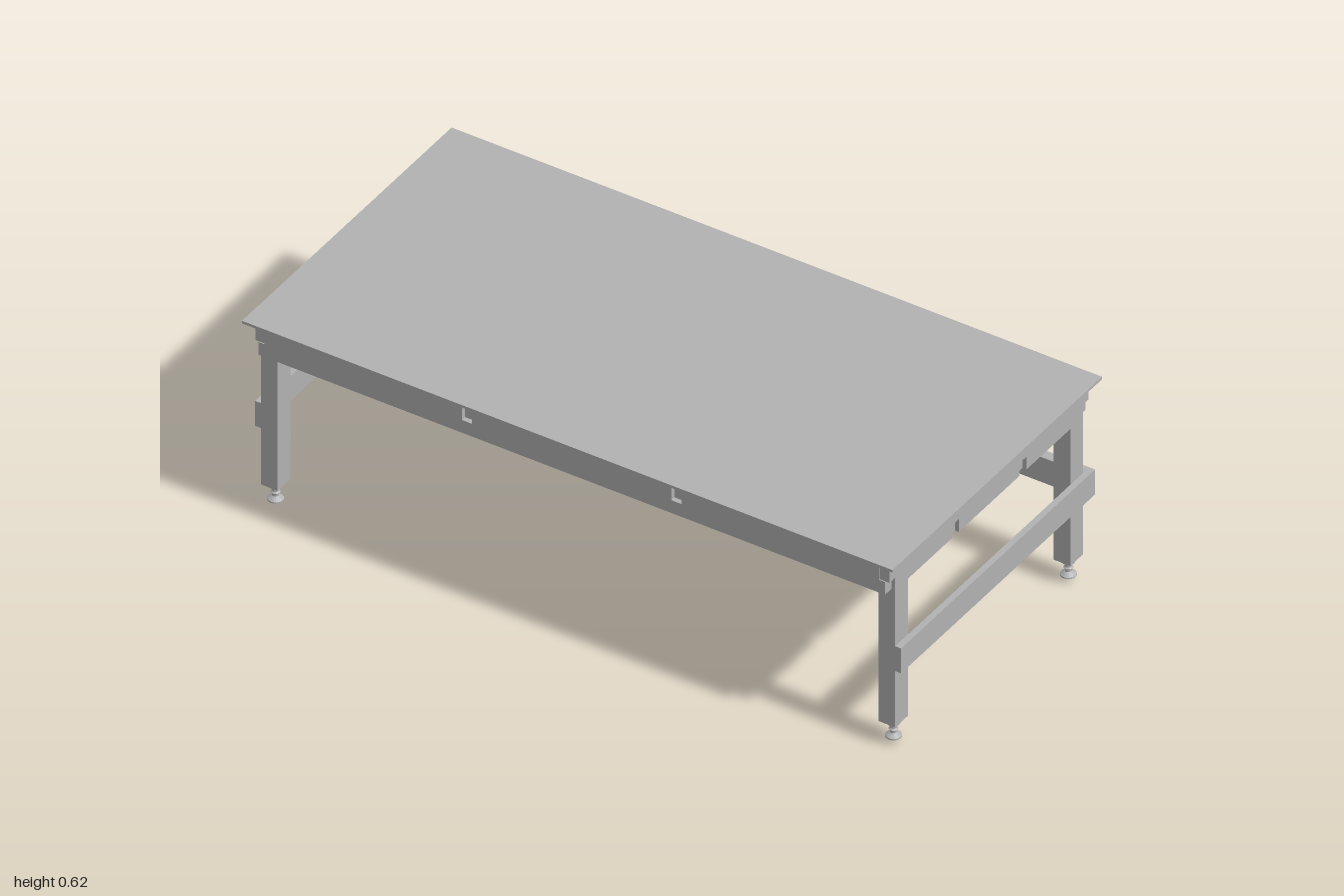
import * as THREE from 'three';

const steel = new THREE.MeshStandardMaterial({ color: 0xb2b2b2 });
steel.name = 'grey steel';

export function createModel() {
  const table = new THREE.Group();
  table.name = 'weldedTable';

  const add = (name, geometry) => {
    const mesh = new THREE.Mesh(geometry, steel);
    mesh.name = name;
    table.add(mesh);
    return mesh;
  };
  // Box given by its low and high limits on each axis
  const box = (name, [x0, x1], [y0, y1], [z0, z1]) => {
    const lo = [Math.min(x0, x1), y0, Math.min(z0, z1)];
    const hi = [Math.max(x0, x1), y1, Math.max(z0, z1)];
    const g = new THREE.BoxGeometry(hi[0] - lo[0], hi[1] - lo[1], hi[2] - lo[2]);
    g.translate((lo[0] + hi[0]) / 2, (lo[1] + hi[1]) / 2, (lo[2] + hi[2]) / 2);
    return add(name, g);
  };
  const polygon = pts => new THREE.Shape(pts.map(p => new THREE.Vector2(...p)));
  const extrude = shape => new THREE.ExtrudeGeometry(shape, { depth: 0.03, bevelEnabled: false });
  const bottom = 0.512, lap = 0.553, top = 0.612;

  // Table top
  box('tableTop', [-1, 1], [top, 0.62], [-0.5, 0.5]);

  // Long aprons: upper corners stepped for the end aprons, slots for the cross beams
  for (const s of [-1, 1]) {
    const shape = polygon([[-0.963, bottom], [0.963, bottom], [0.963, lap], [0.945, lap],
      [0.945, top], [-0.945, top], [-0.945, lap], [-0.963, lap]]);
    for (const c of [-0.322, 0.322]) {
      shape.holes.push(new THREE.Path([[c - 0.016, lap], [c - 0.016, 0.6], [c + 0.016, 0.6],
        [c + 0.016, lap]].map(p => new THREE.Vector2(...p))));
    }
    const g = extrude(shape);
    g.translate(0, 0, s > 0 ? 0.448 : -0.478);
    add('longApron', g);
  }

  // End aprons: notched along the lower edge where the stringers pass through
  for (const s of [-1, 1]) {
    const pts = [[-0.448, bottom]];
    for (const c of [-0.161, 0.161]) {
      pts.push([c - 0.0165, bottom], [c - 0.0165, lap], [c + 0.0165, lap], [c + 0.0165, bottom]);
    }
    pts.push([0.448, bottom], [0.448, lap], [0.475, lap], [0.475, top],
      [-0.475, top], [-0.475, lap], [-0.448, lap]);
    const g = extrude(polygon(pts));
    g.rotateY(-Math.PI / 2);
    g.translate(s > 0 ? 0.975 : -0.945, 0, 0);
    add('endApron', g);
  }

  // Lengthwise stringers
  for (const z of [-0.161, 0.161]) {
    box('stringer', [-0.963, 0.963], [bottom, top], [z - 0.0165, z + 0.0165]);
  }

  // Cross beams fitted between the stringers, with tabs into the apron slots
  for (const x of [-0.322, 0.322]) {
    const w = [x - 0.016, x + 0.016];
    box('crossBeam', w, [bottom, top], [-0.1445, 0.1445]);
    for (const s of [-1, 1]) {
      box('crossBeam', w, [bottom, top], [s * 0.1775, s * 0.448]);
      box('crossBeamTab', w, [lap, 0.6], [s * 0.448, s * 0.463]);
    }
  }

  // Legs with screw feet
  const footProfile = [[0, 0], [0.022, 0], [0.022, 0.004], [0.009, 0.013], [0.009, 0.02],
    [0.013, 0.024], [0.009, 0.028], [0.009, 0.037], [0.018, 0.042], [0.018, 0.055], [0, 0.055]]
    .map(p => new THREE.Vector2(...p));
  for (const sx of [-1, 1]) {
    for (const sz of [-1, 1]) {
      box('leg', [sx * 0.924, sx * 0.975], [0.072, bottom], [sz * 0.387, sz * 0.448]);
      const lowered = sx < 0 && sz < 0;
      const foot = new THREE.LatheGeometry(footProfile, 20);
      const flat = foot.toNonIndexed();
      flat.computeVertexNormals();
      add('foot', flat).position.set(sx * 0.95, lowered ? 0 : 0.017, sz * 0.417);
      // One foot sits lower on a spacer plate
      if (lowered) box('spacerPlate', [-0.985, -0.917], [0.055, 0.072], [-0.452, -0.381]);
    }
  }

  // Lower rails: both ends and the back
  for (const s of [-1, 1]) {
    box('endRail', [s * 0.975, s * 0.993], [0.253, 0.333], [-0.478, 0.448]);
  }
  box('backRail', [-0.975, 0.975], [0.253, 0.333], [-0.478, -0.448]);

  return table;
}
